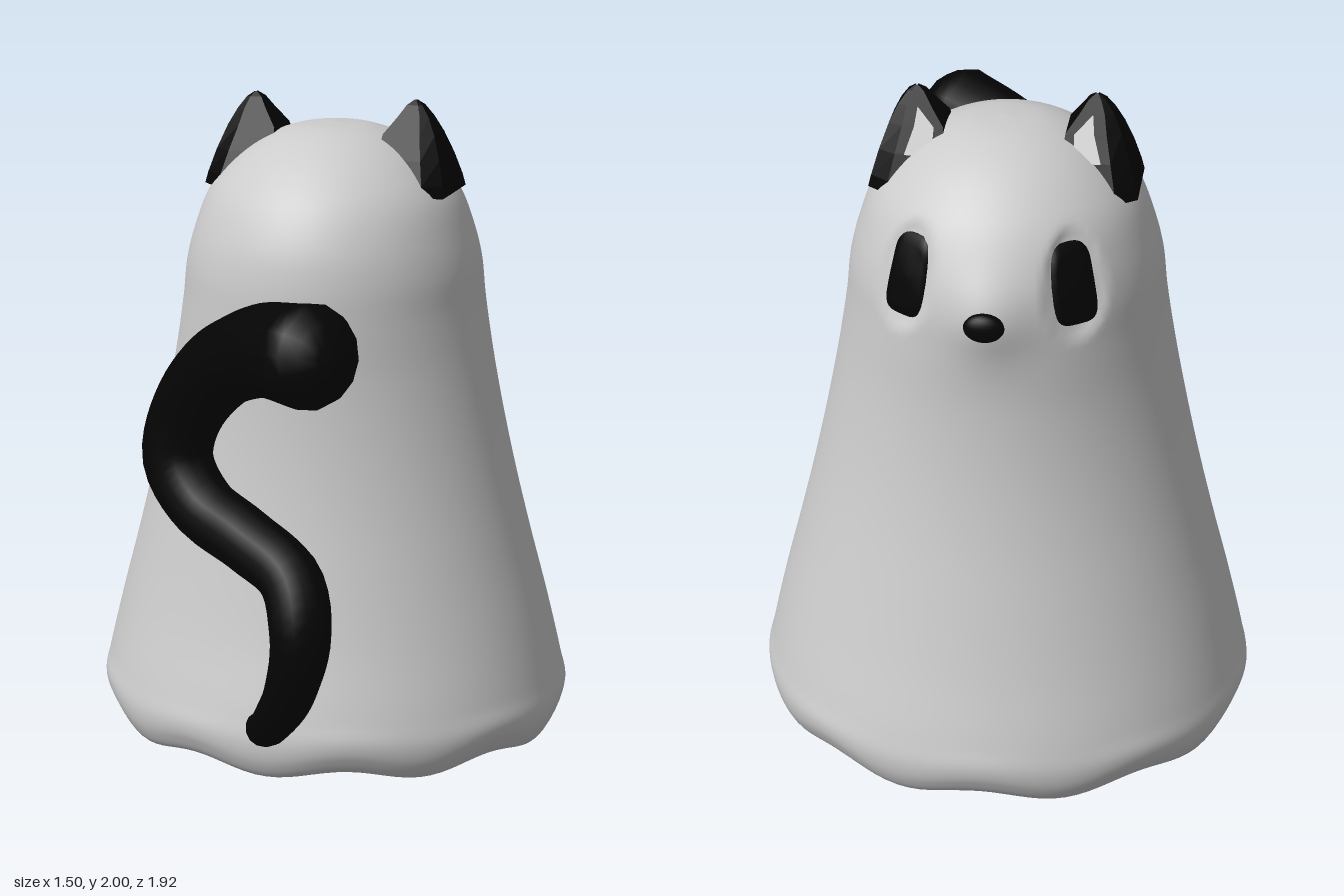
import * as THREE from 'three';

const V = (x, y, z) => new THREE.Vector3(x, y, z);
const grey = new THREE.MeshStandardMaterial({ color: 0xcccccc });
const black = new THREE.MeshStandardMaterial({ color: 0x040404 });
const CZ = -0.26; // body axis at the hem

// Skin closed rings of points, ordered from the tip downwards
function loft(rings) {
  const n = rings[0].length, index = [];
  for (let i = 0; i < rings.length - 1; i++)
    for (let j = 0; j < n; j++) {
      const k = (j + 1) % n, a = i * n + j, b = i * n + k;
      index.push(a, a + n, b, b, a + n, b + n);
    }
  const g = new THREE.BufferGeometry().setFromPoints(rings.flat());
  g.setIndex(index);
  g.computeVertexNormals();
  return g;
}

function add(parent, name, geometry, material) {
  const mesh = new THREE.Mesh(geometry, material);
  mesh.name = name;
  parent.add(mesh);
  return mesh;
}

const ring = (n, f) => Array.from({ length: n }, (_, j) => f((j / n) * Math.PI * 2));

// Body profile as (half width, height, half depth), crown to inner hem
const profile = new THREE.CatmullRomCurve3([
  [0, 1.92, 0], [0.12, 1.908, 0.125], [0.22, 1.87, 0.228], [0.31, 1.805, 0.32], [0.385, 1.715, 0.402],
  [0.43, 1.6, 0.458], [0.456, 1.5, 0.479], [0.47, 1.38, 0.485], [0.5, 1.2, 0.485], [0.54, 1.0, 0.5],
  [0.585, 0.8, 0.53], [0.635, 0.6, 0.573], [0.688, 0.4, 0.622], [0.735, 0.2, 0.68], [0.75, 0.12, 0.696],
  [0.737, 0.055, 0.687], [0.7, 0.005, 0.655], [0.665, 0.035, 0.62], [0.54, 0.178, 0.52],
].map((p) => V(...p)));

// Eye placement: height, angle from the face centre, half height, half angle
const EYE = { y: 1.575, angle: 0.59, h: 0.118, w: 0.162 };

// Point on the sheet; theta runs from +z towards +x
function sheet(u, theta, out = 0) {
  const p = profile.getPoint(u);
  const fromFace = Math.abs(((theta % (2 * Math.PI)) + 2 * Math.PI) % (2 * Math.PI) - Math.PI);
  const d = Math.hypot((fromFace - EYE.angle) / EYE.w, (p.y - EYE.y) / EYE.h);
  const offset = out - 0.02 * (1 - THREE.MathUtils.smoothstep(d, 0.95, 1.4)); // eye sockets
  const axis = CZ + 0.012 * THREE.MathUtils.smoothstep(p.y, 0.3, 1.2);
  const x = Math.sin(theta) * (p.x + offset);
  let z = axis + Math.cos(theta) * (p.z + offset);
  if (z < CZ) z -= 0.035 * Math.exp(-((x / 0.12) ** 2) - ((p.y - 1.51) / 0.12) ** 2); // snout
  const hem = THREE.MathUtils.clamp((0.2 - p.y) / 0.15, 0, 1);
  return V(x, p.y + hem * 0.016 * (1 - Math.cos(9 * theta)), z); // scalloped hem
}

// Profile parameter at a given height
function uAt(y) {
  let lo = 0, hi = 0.7;
  for (let i = 0; i < 30; i++) {
    const m = (lo + hi) / 2;
    if (profile.getPoint(m).y > y) lo = m; else hi = m;
  }
  return lo;
}

// Rounded-rectangle eye that follows the sheet
function eyeGeometry(side) {
  const steps = [[0, 0.008], [0.35, 0.008], [0.7, 0.008], [0.95, 0.007], [1, -0.015]];
  const round = (v) => Math.sign(v) * Math.abs(v) ** 0.55;
  return loft(steps.map(([k, out]) => ring(32, (a) =>
    sheet(uAt(EYE.y + EYE.h * k * round(Math.sin(a))),
      Math.PI - side * EYE.angle + EYE.w * k * round(Math.cos(a)), out))));
}

// Ear sections: height, inner x, outer x, half depth
const earRows = [
  [2.0, 0.255, 0.262, 0.004], [1.985, 0.235, 0.283, 0.02], [1.95, 0.212, 0.308, 0.042],
  [1.9, 0.175, 0.333, 0.073], [1.83, 0.165, 0.358, 0.116], [1.76, 0.165, 0.378, 0.151],
  [1.725, 0.165, 0.387, 0.156], [1.718, 0.18, 0.375, 0.144], [1.718, 0.27, 0.27, 0],
];
// Six-sided plan outline, slightly narrower on the inner side
const earPlan = [[0.74, 1], [1, 0.72], [1, -0.72], [0.74, -1], [0, -0.95], [0, 0.95]];

function earGeometry(side) {
  const rings = earRows.map(([y, x0, x1, h]) => {
    const pts = earPlan.map(([s, t]) => V(side * (x0 + (x1 - x0) * s), y, -0.249 + h * t));
    return side > 0 ? pts : pts.reverse();
  });
  const g = loft(rings).toNonIndexed();
  g.computeVertexNormals();
  return g;
}

// Grey triangle lying on the front face of an ear
function innerEarGeometry(side) {
  const onFace = (row, s) => {
    const [y, x0, x1, h] = earRows[row];
    return V(side * (x0 + (x1 - x0) * s), y, -0.254 - h * (0.95 + 0.05 * s / 0.74));
  };
  const pts = [onFace(2, 0.4), onFace(3, 0.16), onFace(4, 0.2), onFace(4, 0.6), onFace(3, 0.52)];
  const g = new THREE.BufferGeometry().setFromPoints(pts);
  const faces = [0, 1, 4, 1, 2, 4, 2, 3, 4];
  g.setIndex(side > 0 ? faces : faces.reverse());
  g.computeVertexNormals();
  return g;
}

// S-shaped tail, thickening to a rounded tip
function tailGeometry() {
  const path = new THREE.CatmullRomCurve3([
    [-0.03, 0.165, 0.37], [0.02, 0.195, 0.48], [0.11, 0.295, 0.635], [0.205, 0.45, 0.75],
    [0.247, 0.62, 0.79], [0.2, 0.77, 0.735], [0.04, 0.85, 0.66], [-0.13, 0.92, 0.585],
    [-0.218, 1.04, 0.543], [-0.185, 1.19, 0.54], [-0.06, 1.34, 0.595], [0.11, 1.43, 0.7], [0.295, 1.46, 0.835],
  ].map((p) => V(...p)));
  const N = 64, frames = path.computeFrenetFrames(N);
  const section = (i, r, push = 0) => ring(14, (a) => path.getPointAt(i / N)
    .addScaledVector(frames.tangents[i], push)
    .addScaledVector(frames.normals[i], r * Math.cos(a))
    .addScaledVector(frames.binormals[i], -r * Math.sin(a)));
  const rings = [section(0, 0)];
  for (let i = 0; i <= N; i++) {
    const t = i / N;
    rings.push(section(i, t < 0.35 ? 0.044 + 0.135 * t : 0.0913 + 0.058 * ((t - 0.35) / 0.65) ** 1.9));
  }
  rings.push(section(N, 0.135, 0.035), section(N, 0.1, 0.08), section(N, 0.05, 0.105), section(N, 0, 0.11));
  return loft(rings);
}

export function createModel() {
  const model = new THREE.Group();
  model.name = 'sheetGhostCat';

  // Draped sheet with scalloped hem
  const rows = 110;
  add(model, 'sheet', loft(Array.from({ length: rows + 1 }, (_, i) =>
    ring(120, (a) => sheet(i / rows, a)))), grey);

  // Flat underside set inside the hem
  const under = add(model, 'underside', new THREE.CircleGeometry(1, 48).rotateX(Math.PI / 2), grey);
  under.scale.set(0.545, 1, 0.525);
  under.position.set(0, 0.176, CZ);

  // Face and ears
  for (const side of [1, -1]) {
    const name = side > 0 ? 'left' : 'right';
    add(model, name + 'Eye', eyeGeometry(side), black);
    add(model, name + 'Ear', earGeometry(side), black);
    add(model, name + 'InnerEar', innerEarGeometry(side),
      new THREE.MeshStandardMaterial({ color: 0xcccccc, side: THREE.DoubleSide }));
  }
  const nose = add(model, 'nose', new THREE.SphereGeometry(1, 20, 14), black);
  nose.scale.set(0.058, 0.043, 0.03);
  nose.position.set(0, 1.497, -0.762);

  add(model, 'tail', tailGeometry(), black);
  return model;
}
